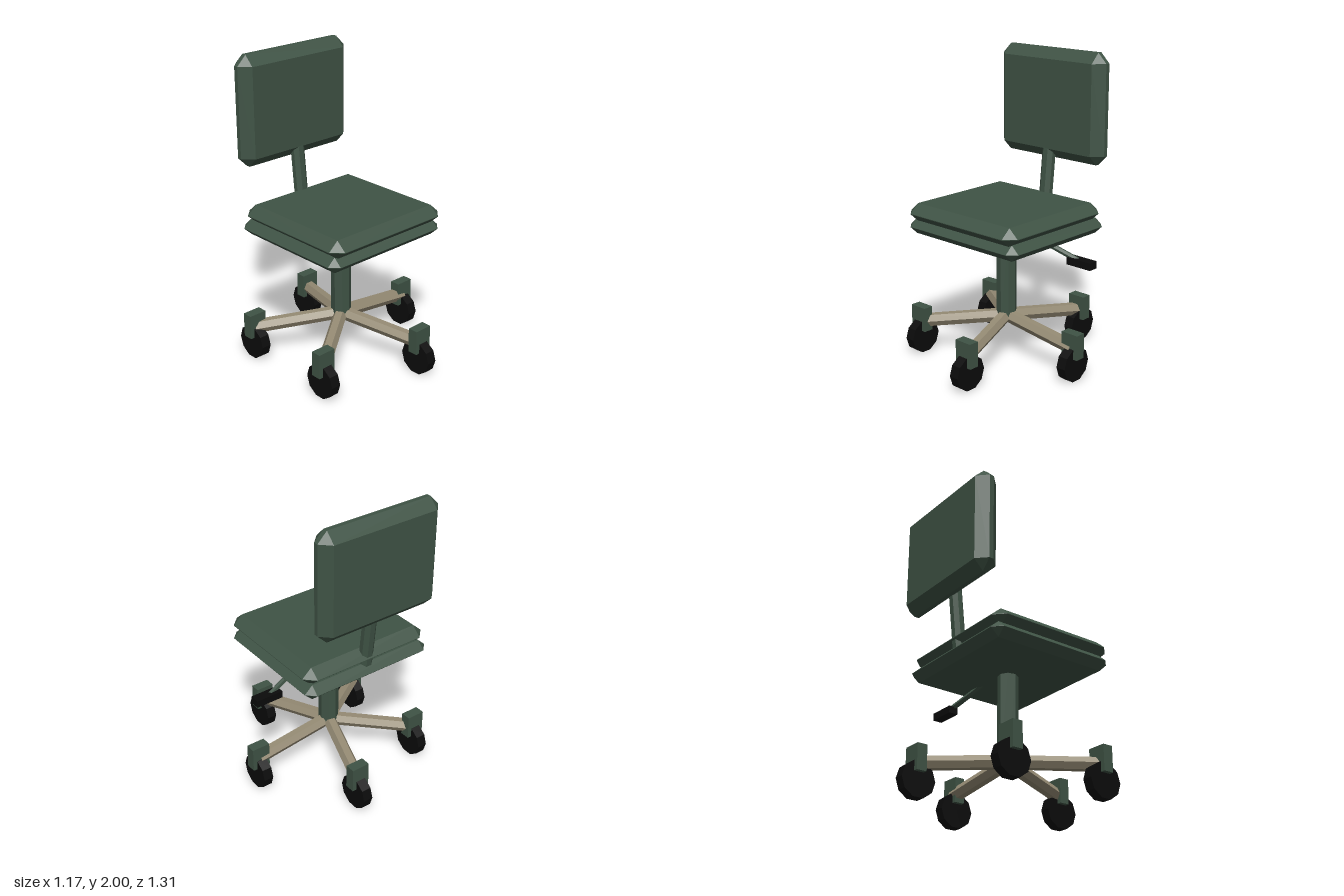
import * as THREE from 'three';
import { ConvexGeometry } from 'three/addons/geometries/ConvexGeometry.js';

const CX = -0.0625; // the chair's own axis

export function createModel() {
  const mat = (name, color) => {
    const m = new THREE.MeshStandardMaterial({ color, flatShading: true });
    m.name = name;
    return m;
  };
  const green = mat('dark green', 0x3f5345);
  const beige = mat('beige', 0x958b74);
  const black = mat('black', 0x0b0b0b);

  const model = new THREE.Group();
  model.name = 'officeChair';

  const add = (name, geometry, material, parent = model) => {
    const mesh = new THREE.Mesh(geometry, material);
    mesh.name = name;
    parent.add(mesh);
    return mesh;
  };

  // Box with every edge cut off, given by its limits and bevel per axis
  const cushion = (name, min, max, bevel) => {
    const c = min.map((v, i) => (v + max[i]) / 2);
    const h = min.map((v, i) => (max[i] - v) / 2);
    const points = [];
    for (let axis = 0; axis < 3; axis++)
      for (const sx of [-1, 1]) for (const sy of [-1, 1]) for (const sz of [-1, 1]) {
        const s = [sx, sy, sz];
        points.push(new THREE.Vector3(...h.map((v, i) => s[i] * (i === axis ? v : v - bevel[i]))));
      }
    add(name, new ConvexGeometry(points), green).position.set(...c);
  };

  // Prism running between two points
  const rod = (name, a, b, radius, sides, material, parent, turn = 0) => {
    const from = new THREE.Vector3(...a), to = new THREE.Vector3(...b);
    const dir = to.clone().sub(from);
    const geometry = new THREE.CylinderGeometry(radius, radius, dir.length(), sides);
    geometry.rotateY(turn);
    const mesh = add(name, geometry, material, parent);
    mesh.quaternion.setFromUnitVectors(new THREE.Vector3(0, 1, 0), dir.normalize());
    mesh.position.copy(from.add(to).multiplyScalar(0.5));
    return mesh;
  };

  // Cushions
  cushion('backrest', [-0.5, 1.28, -0.537], [0.375, 2, -0.377], [0.065, 0.065, 0.065]);
  cushion('seatCushion', [-0.527, 0.935, -0.425], [0.405, 1.055, 0.465], [0.066, 0.058, 0.066]);
  cushion('seatBase', [-0.536, 0.85, -0.445], [0.41, 0.952, 0.45], [0.054, 0.05, 0.054]);

  // Supports
  rod('backPost', [CX, 0.93, -0.373], [CX, 1.36, -0.416], 0.048, 8, green, model, Math.PI / 8)
    .scale.z = 0.85;
  rod('column', [CX, 0.27, 0], [CX, 0.87, 0], 0.066, 8, green, model, 0.15);

  // Height lever
  const lever = new THREE.Group();
  lever.name = 'heightLever';
  model.add(lever);
  rod('leverRod', [0.1, 0.885, -0.02], [0.47, 0.758, -0.095], 0.018, 6, green, lever);
  add('leverGrip', new THREE.BoxGeometry(0.186, 0.048, 0.066), black, lever)
    .position.set(0.488, 0.751, -0.095);

  // Five-star base with casters, whose wheels all point the same way
  const base = new THREE.Group();
  base.name = 'starBase';
  model.add(base);
  for (let i = 0; i < 5; i++) {
    const angle = (i * Math.PI * 2) / 5;
    const x = CX + 0.57 * Math.cos(angle), z = 0.57 * Math.sin(angle);

    // Arm: hexagonal bar lying on a flat side, sloping outwards
    const arm = new THREE.Group();
    arm.name = 'baseArm';
    arm.position.x = CX;
    arm.rotation.y = -angle;
    base.add(arm);
    rod('armBar', [0, 0.286, 0], [0.57, 0.215, 0], 0.045, 6, beige, arm);

    const caster = new THREE.Group();
    caster.name = 'caster';
    caster.position.set(x, 0, z);
    base.add(caster);
    add('casterHousing', new THREE.BoxGeometry(0.125, 0.165, 0.068), green, caster)
      .position.y = 0.2375;
    const wheel = new THREE.CylinderGeometry(0.115, 0.115, 0.067, 10);
    wheel.rotateY(Math.PI / 2);
    wheel.rotateZ(Math.PI / 2);
    wheel.rotateX(Math.PI / 2);
    // flat side down
    wheel.computeBoundingBox();
    const wheelMesh = add('casterWheel', wheel, black, caster);
    wheelMesh.position.y = 0.11;
    // the wheel axle runs sideways
    if (wheel.boundingBox.max.x > 0.05) wheelMesh.rotation.y = Math.PI / 2;
  }
  return model;
}
